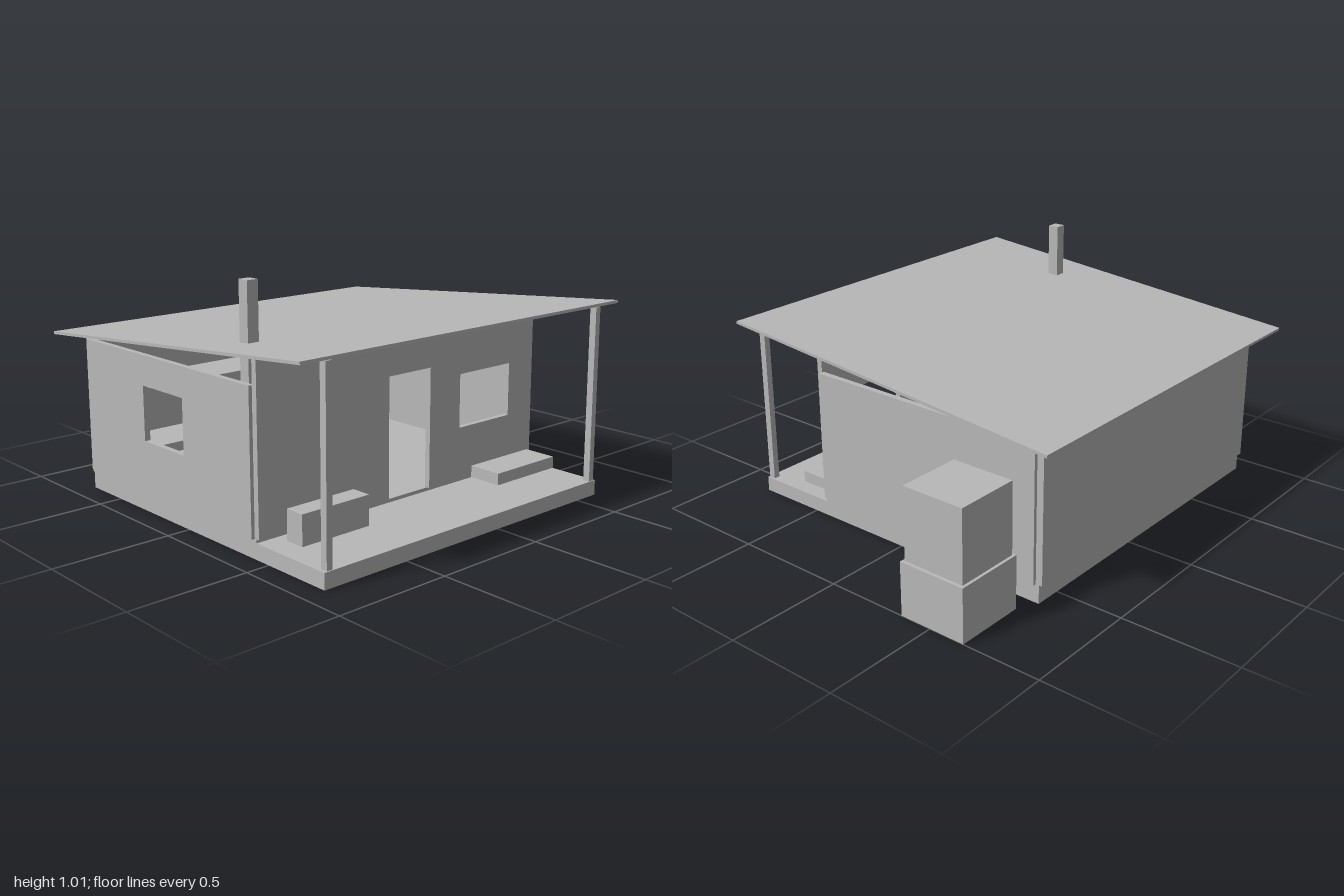
import * as THREE from 'three';

const grey = new THREE.MeshStandardMaterial({ color: 0xb8b8b8 });
grey.name = 'plain grey';

export function createModel() {
  const house = new THREE.Group();
  house.name = 'cabin';

  const add = (name, geometry) => {
    const mesh = new THREE.Mesh(geometry, grey);
    mesh.name = name;
    house.add(mesh);
    return mesh;
  };

  // Box given by its limits along each axis
  const box = (name, [x0, x1], [y0, y1], [z0, z1]) => {
    const mesh = add(name, new THREE.BoxGeometry(x1 - x0, y1 - y0, z1 - z0));
    mesh.position.set((x0 + x1) / 2, (y0 + y1) / 2, (z0 + z1) / 2);
    return mesh;
  };

  const rect = (target, [a0, a1], [b0, b1]) => {
    target.moveTo(a0, b0).lineTo(a1, b0).lineTo(a1, b1).lineTo(a0, b1).closePath();
    return target;
  };

  // Upright wall panel in the XY plane with rectangular openings
  const wallPanel = (width, height, openings, depth) => {
    const shape = rect(new THREE.Shape(), width, height);
    for (const [w, h] of openings) shape.holes.push(rect(new THREE.Path(), w, h));
    return new THREE.ExtrudeGeometry(shape, { depth, bevelEnabled: false });
  };

  // Ground slab with porch, and the raised indoor floor
  box('foundation', [-0.9, 0.615], [0, 0.065], [-0.705, 0.81]);
  box('floor', [-0.9, 0.615], [0.065, 0.08], [-0.705, 0.43]);

  // Front wall with doorway (a notch in the lower edge) and window
  const front = new THREE.Shape();
  [[-0.9, 0.08], [-0.245, 0.08], [-0.245, 0.59], [-0.015, 0.59], [-0.015, 0.08],
    [0.615, 0.08], [0.615, 0.765], [-0.9, 0.765]]
    .forEach(([x, y], i) => (i ? front.lineTo(x, y) : front.moveTo(x, y)));
  front.closePath();
  front.holes.push(rect(new THREE.Path(), [0.16, 0.465], [0.305, 0.535]));
  add('frontWall', new THREE.ExtrudeGeometry(front, { depth: 0.025, bevelEnabled: false }))
    .position.z = 0.42;

  // Remaining walls; the right one has a window
  box('backWall', [-0.9, 0.615], [0.08, 0.66], [-0.72, -0.69]);
  box('leftWall', [0.605, 0.63], [0.08, 0.66], [-0.69, 0.42]);
  const rightWall = add('rightWall',
    wallPanel([-0.42, 0.69], [0.08, 0.66], [[[0, 0.27], [0.305, 0.535]]], 0.025));
  rightWall.rotation.y = Math.PI / 2;
  rightWall.position.x = -0.915;

  // Bunk shelves along the back wall
  for (const [y0, y1] of [[0.18, 0.205], [0.435, 0.465]]) {
    box('bunk', [-0.89, 0.605], [y0, y1], [-0.69, -0.46]);
  }

  // Sloping roof and stove pipe
  const slope = Math.atan2(0.14, 1.62);
  const roof = add('roof', new THREE.BoxGeometry(1.72, 0.012, 1.62 / Math.cos(slope)));
  roof.position.set(-0.14, 0.75, 0);
  roof.rotation.x = -slope;
  box('chimney', [-0.825, -0.775], [0.08, 1.015], [0.255, 0.305]);

  // Porch posts and furniture
  for (const x of [-0.885, 0.58]) box('porchPost', [x, x + 0.027], [0.065, 0.81], [0.775, 0.805]);
  box('bench', [-0.8, -0.47], [0.08, 0.19], [0.485, 0.572]);
  box('benchFoot', [-0.8, -0.47], [0.065, 0.08], [0.485, 0.572]);
  box('lowTable', [0.212, 0.568], [0.085, 0.135], [0.47, 0.62]);

  // Storage tank beside the house
  box('tankBase', [0.695, 1], [0, 0.23], [-0.66, -0.36]);
  box('tank', [0.705, 0.985], [0.23, 0.535], [-0.648, -0.37]);

  return house;
}
